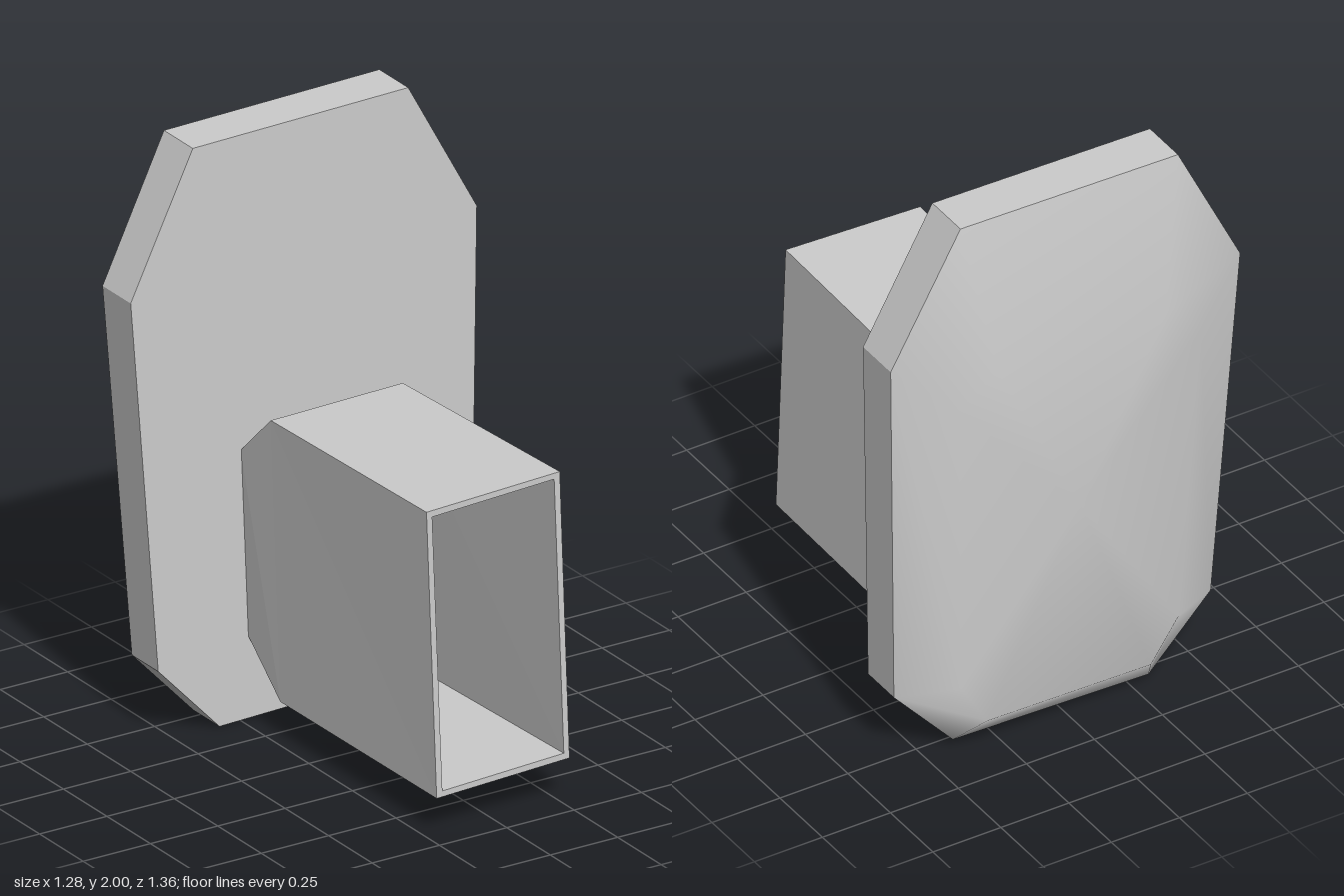
import * as THREE from 'three';
import { mergeVertices } from 'three/addons/utils/BufferGeometryUtils.js';

const grey = new THREE.MeshStandardMaterial({ color: 0xcccccc });
grey.name = 'plainGrey';

// Quads between successive rings of corners
function loft(rings) {
  const out = [];
  for (let r = 0; r < rings.length - 1; r++) {
    const p = rings[r], q = rings[r + 1], n = p.length;
    for (let i = 0; i < n; i++) {
      const j = (i + 1) % n;
      out.push(p[i], p[j], q[j], p[i], q[j], q[i]);
    }
  }
  return out;
}

// Triangle fan around a centre point
function fan(ring, centre) {
  return ring.flatMap((p, i) => [p, ring[(i + 1) % ring.length], centre]);
}

function makeMesh(name, corners, smooth = false) {
  let geometry = new THREE.BufferGeometry();
  geometry.setAttribute('position', new THREE.Float32BufferAttribute(corners.flat(), 3));
  if (smooth) geometry = mergeVertices(geometry);
  geometry.computeVertexNormals();
  const mesh = new THREE.Mesh(geometry, grey);
  mesh.name = name;
  return mesh;
}

export function createModel() {
  const model = new THREE.Group();
  model.name = 'plateWithHollowStem';

  // Eight-sided plate, leaning slightly back
  const outline = [[-0.41, 1.985], [0.39, 2.0], [0.64, 1.54], [0.61, 0.27],
    [0.39, 0.025], [-0.33, 0.005], [-0.555, 0.245], [-0.645, 1.515]];
  const inset = [[-0.31, 1.47], [0.31, 1.48], [0.45, 1.38], [0.43, 0.3],
    [0.33, 0.14], [-0.27, 0.13], [-0.37, 0.28], [-0.44, 1.36]];
  const front = outline.map(([x, y]) => [x, y, -0.39 - 0.015 * y]);
  const rim = outline.map(([x, y]) => [x, y, -0.54 - 0.023 * y]);
  const crown = inset.map(([x, y]) => [x, y, -0.648 - 0.019 * y]);

  const plate = new THREE.Group();
  plate.name = 'plate';
  plate.add(
    makeMesh('plateFront', fan([...front].reverse(), [0, 1, -0.405])),
    makeMesh('plateEdge', loft([front, rim])),
    makeMesh('plateBack', [...loft([rim, crown]), ...fan(crown, [0, 0.85, -0.668])], true)
  );

  // Hollow stem, open in front and narrowing in height at the plate
  const outer = [
    [[-0.24, 1.105, 0.66], [0.255, 1.125, 0.66], [0.278, 0.15, 0.68], [-0.215, 0.13, 0.68]],
    [[-0.24, 1.085, -0.235], [0.25, 1.095, -0.235], [0.275, 0.127, -0.215], [-0.217, 0.127, -0.215]],
    [[-0.24, 0.92, -0.408], [0.265, 0.93, -0.408], [0.27, 0.3, -0.4], [-0.22, 0.29, -0.4]]
  ];
  const wall = 0.021;
  const shift = [[1, -1], [-1, -1], [-1, 1], [1, 1]];
  const inner = outer.map((ring, r) => ring.map(([x, y, z], i) =>
    [x + shift[i][0] * wall, y + shift[i][1] * (r === 2 ? 0.004 : wall), z]));
  const stem = makeMesh('hollowStem', loft([...inner].reverse().concat(outer)));

  model.add(plate, stem);
  return model;
}
